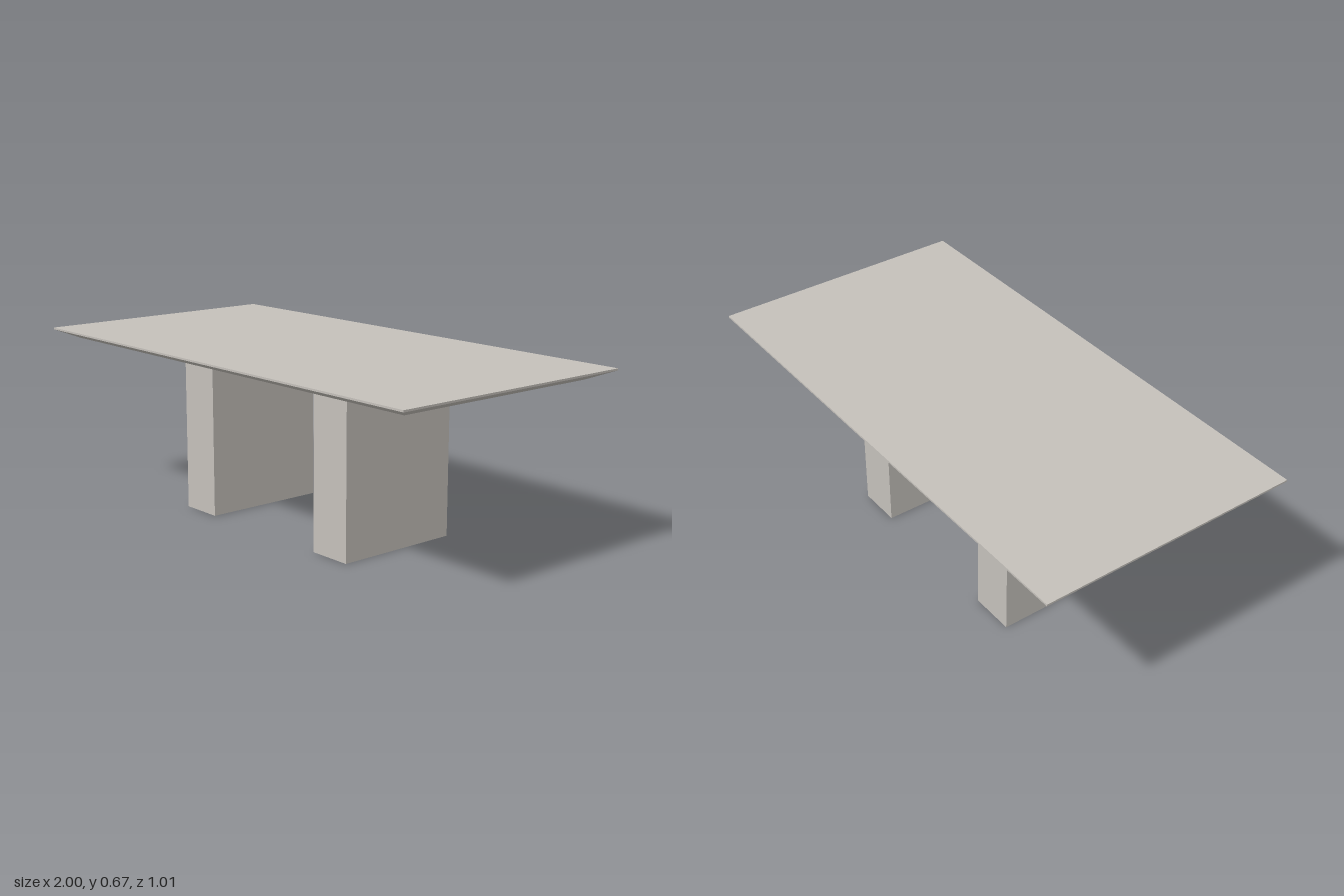
import * as THREE from 'three';

export function createModel() {
  const model = new THREE.Group();
  model.name = 'table';
  const stone = new THREE.MeshStandardMaterial({ color: 0xc5c1bb });
  stone.name = 'warm grey stone';

  const width = 2, depth = 1.01, top = 0.67, lipBottom = 0.663, underside = 0.63;
  const inset = 0.077; // how far the underside is set back by the bevel

  // Table top: a box with an extra row of vertices, its lowest row drawn in
  const geometry = new THREE.BoxGeometry(width, 2, depth, 1, 2, 1);
  const p = geometry.attributes.position;
  for (let i = 0; i < p.count; i++) {
    const level = Math.round(p.getY(i));
    if (level < 0) {
      p.setX(i, p.getX(i) - Math.sign(p.getX(i)) * inset);
      p.setZ(i, p.getZ(i) - Math.sign(p.getZ(i)) * inset);
    }
    p.setY(i, [underside, lipBottom, top][level + 1]);
  }
  // Unshared vertices keep the lip and bevel edges sharp
  const flat = geometry.toNonIndexed();
  flat.computeVertexNormals();
  const tableTop = new THREE.Mesh(flat, stone);
  tableTop.name = 'tableTop';
  model.add(tableTop);

  // Two slab legs
  for (const [name, side] of [['leftLeg', 1], ['rightLeg', -1]]) {
    const leg = new THREE.Mesh(new THREE.BoxGeometry(0.172, underside, 0.495), stone);
    leg.name = name;
    leg.position.set(side * 0.377, underside / 2, 0);
    model.add(leg);
  }

  return model;
}
